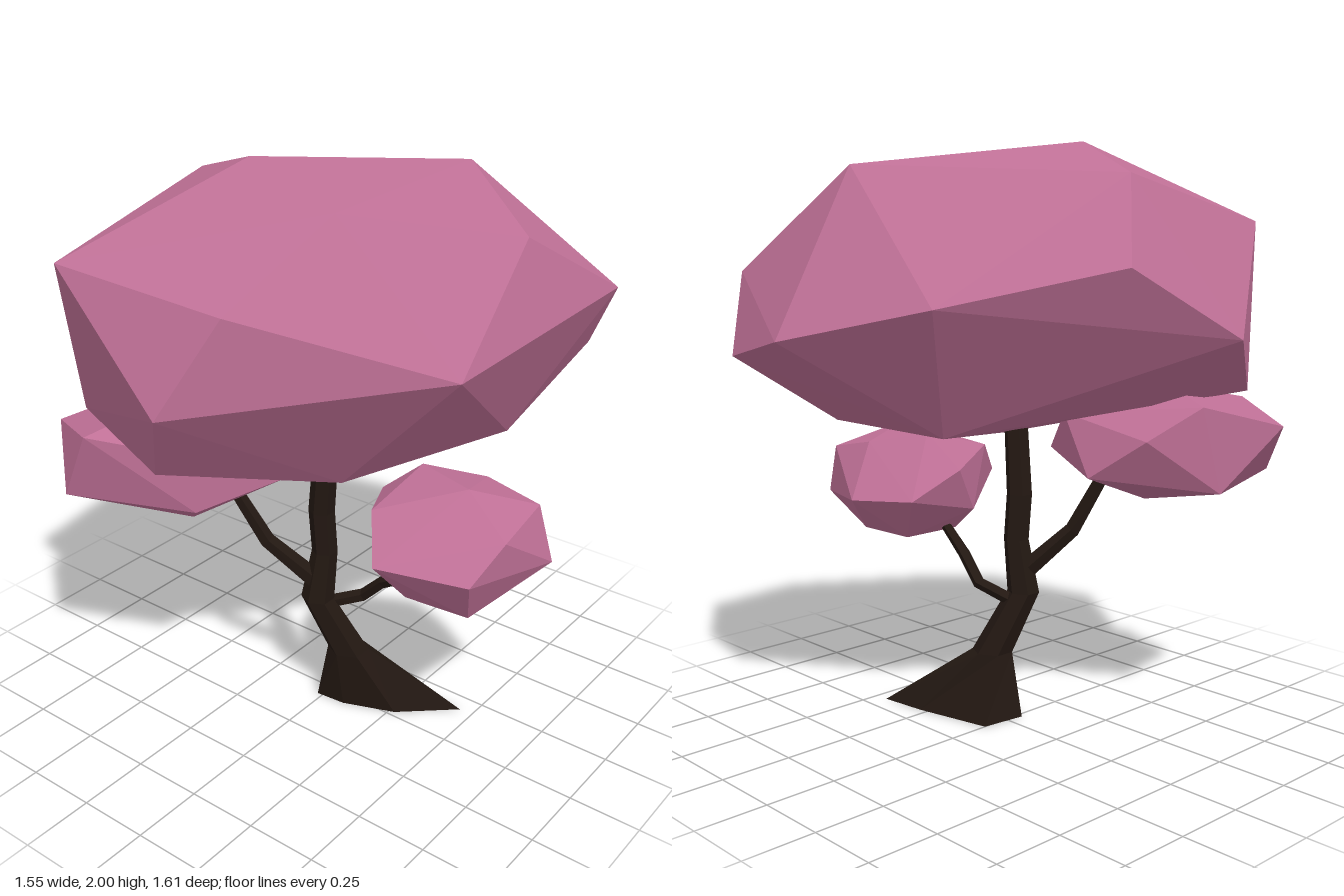
import * as THREE from 'three';
import { ConvexGeometry } from 'three/addons/geometries/ConvexGeometry.js';

const bark = new THREE.MeshStandardMaterial({ color: 0x231812, flatShading: true });
const blossom = new THREE.MeshStandardMaterial({ color: 0xbf7096, flatShading: true });

// Faceted foliage: the convex hull of its corner points
function foliage(name, points) {
  const mesh = new THREE.Mesh(new ConvexGeometry(points.map(p => new THREE.Vector3(...p))), blossom);
  mesh.name = name;
  return mesh;
}

// Skin over rings of equal point count, listed from bottom to top, with closed ends
function loft(name, rings) {
  const n = rings[0].length, index = [];
  for (let j = 0; j < rings.length - 1; j++) {
    for (let i = 0; i < n; i++) {
      const a = j * n + i, b = j * n + (i + 1) % n;
      index.push(a, b, b + n, a, b + n, a + n);
    }
  }
  const top = (rings.length - 1) * n;
  for (let i = 1; i < n - 1; i++) index.push(0, i + 1, i, top, top + i, top + i + 1);
  const geometry = new THREE.BufferGeometry();
  geometry.setAttribute('position', new THREE.Float32BufferAttribute(rings.flat(2), 3));
  geometry.setIndex(index);
  const flat = geometry.toNonIndexed();
  flat.computeVertexNormals();
  const mesh = new THREE.Mesh(flat, bark);
  mesh.name = name;
  return mesh;
}

// Level six-sided ring
function ring(x, y, z, rx, rz) {
  return Array.from({ length: 6 }, (_, i) => {
    const t = (-150 + 60 * i) * Math.PI / 180;
    return [x + rx * Math.cos(t), y, z - rz * Math.sin(t)];
  });
}

// Thin five-sided limb through path points [x, y, z, radius]
function branch(name, path) {
  const pts = path.map(p => new THREE.Vector3(p[0], p[1], p[2]));
  const rings = pts.map((p, j) => {
    const dir = pts[Math.min(j + 1, pts.length - 1)].clone().sub(pts[Math.max(j - 1, 0)]).normalize();
    const u = new THREE.Vector3(0, 0, 1).cross(dir).normalize();
    const v = dir.clone().cross(u);
    return Array.from({ length: 5 }, (_, i) => {
      const t = i * Math.PI * 2 / 5, r = path[j][3];
      return p.clone().addScaledVector(u, r * Math.cos(t)).addScaledVector(v, r * Math.sin(t)).toArray();
    });
  });
  return loft(name, rings);
}

export function createModel() {
  const tree = new THREE.Group();
  tree.name = 'tree';

  // Trunk with a root flaring to one side
  const foot = [[-0.02, 0, 0.06], [0.09, 0, 0.05], [0.27, 0, -0.02], [0.45, 0, -0.18], [0.28, 0, -0.16], [0, 0, -0.1]];
  tree.add(loft('trunk', [
    foot,
    ring(0.09, 0.23, 0.02, 0.075, 0.07),
    ring(0.01, 0.45, 0.095, 0.06, 0.055),
    ring(0.03, 0.64, 0.08, 0.045, 0.045),
    ring(0.025, 0.8, 0.09, 0.046, 0.045),
    ring(0.055, 1.08, 0.1, 0.042, 0.042),
  ]));

  // Side branches
  tree.add(branch('rightBranch', [
    [0.01, 0.52, 0.1, 0.035], [-0.13, 0.68, 0.2, 0.028], [-0.2, 0.84, 0.25, 0.024], [-0.25, 0.95, 0.28, 0.02],
  ]));
  tree.add(branch('leftBranch', [
    [0.03, 0.42, 0.06, 0.024], [0.15, 0.47, 0.01, 0.023], [0.24, 0.56, 0.02, 0.022], [0.4, 0.66, 0.05, 0.018],
  ]));

  // Large leaning crown
  tree.add(foliage('crown', [
    [-0.18, 2, 0.18], [0.22, 1.91, 0.27], [0.6, 1.8, -0.19], [0.2, 1.92, -0.49], [-0.52, 1.89, 0.03],
    [0.73, 1.57, -0.56], [0.63, 1.46, 0.2], [0.12, 1.68, 0.66], [-0.48, 1.74, 0.73], [-0.03, 1.37, 0.8],
    [-0.78, 1.38, 0.27], [-0.66, 1.61, -0.12], [-0.3, 1.49, -0.58], [0.17, 1.38, -0.81], [0.57, 1.3, -0.71],
    [-0.59, 1.18, 0.56], [-0.18, 1.1, 0.66], [0.18, 0.99, 0.18], [0.47, 1.06, -0.36], [-0.09, 1.06, -0.36],
  ]));

  // Lower foliage clusters
  tree.add(foliage('rightCluster', [
    [-0.76, 1.08, 0.53], [-0.6, 0.9, 0.67], [-0.49, 1.14, 0.67], [-0.3, 0.79, 0.38], [-0.64, 0.86, 0.36],
    [-0.17, 0.9, 0.5], [-0.02, 0.96, 0.2], [-0.16, 1.09, 0.48], [-0.4, 1.2, 0.38], [-0.61, 1.15, 0.3],
    [-0.3, 0.9, 0.09], [-0.14, 1.1, 0.14], [-0.5, 1.04, 0.15],
  ]));
  tree.add(foliage('leftCluster', [
    [0.77, 0.74, -0.18], [0.73, 0.9, 0.06], [0.63, 0.61, 0.1], [0.4, 0.61, -0.11], [0.63, 0.61, -0.12],
    [0.4, 0.61, 0.12], [0.55, 1.01, 0], [0.32, 1, -0.08], [0.18, 0.88, -0.05], [0.22, 0.72, 0.05],
    [0.4, 0.81, 0.31], [0.69, 0.79, 0.2], [0.7, 0.92, -0.2], [0.45, 0.77, -0.32], [0.5, 0.96, -0.2],
    [0.3, 0.93, 0.18], [0.24, 0.78, -0.22],
  ]));

  return tree;
}
